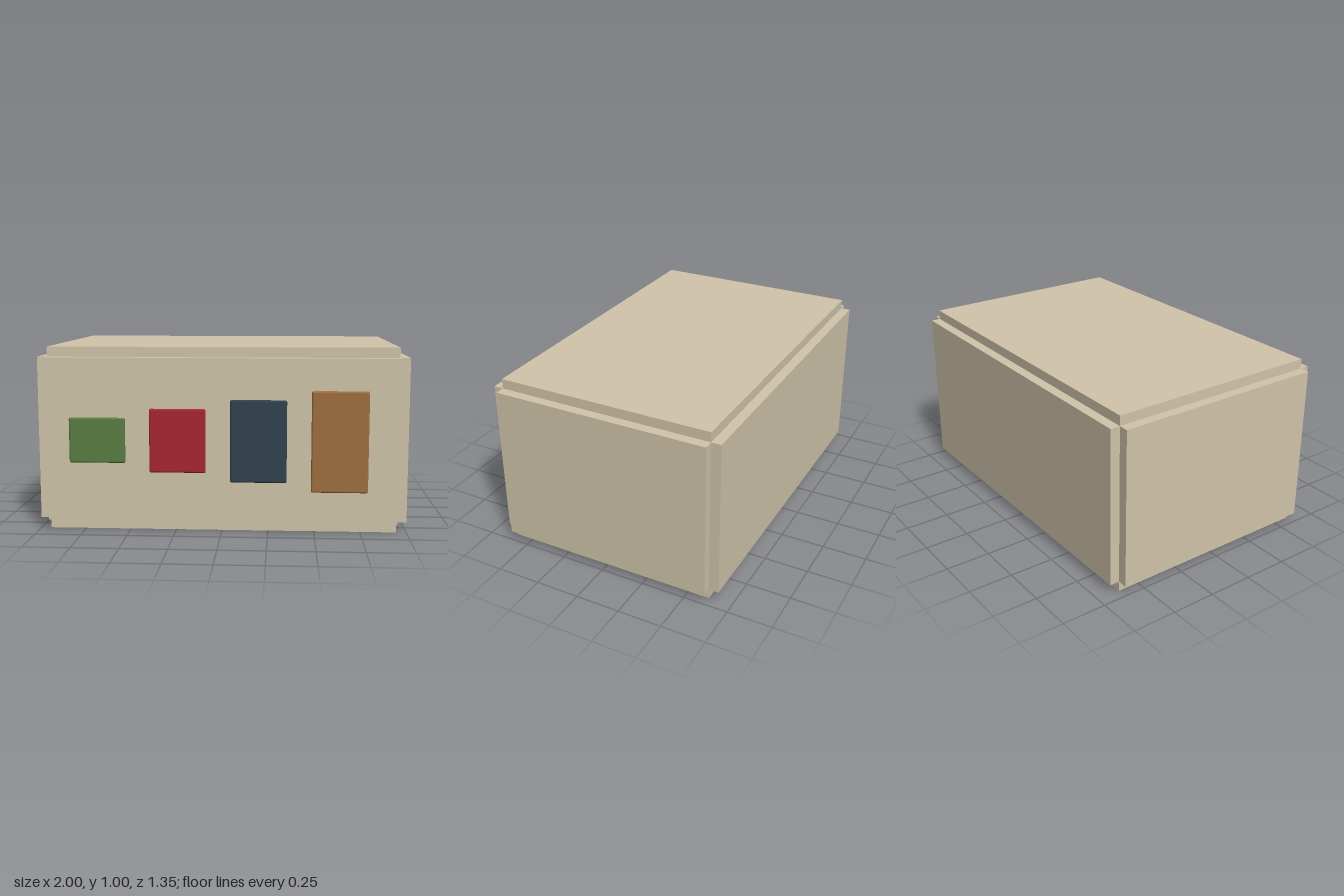
import * as THREE from 'three';
import { RoundedBoxGeometry } from 'three/addons/geometries/RoundedBoxGeometry.js';

// Inner volume enclosed by the six panels
const X = 0.945, Y0 = 0.057, Y1 = 0.945, Z0 = -0.62, Z1 = 0.602;
const T = 0.055; // panel thickness

export function createModel() {
  const model = new THREE.Group();
  model.name = 'crate';
  const wood = new THREE.MeshStandardMaterial({ color: 0xd1c5ab });

  // Box spanning two opposite corners
  const panel = (name, min, max) => {
    const size = max.map((v, i) => v - min[i]);
    const mesh = new THREE.Mesh(new THREE.BoxGeometry(...size), wood);
    mesh.position.set(...min.map((v, i) => (v + max[i]) / 2));
    mesh.name = name;
    model.add(mesh);
  };

  // Panels meet edge to edge, leaving a stepped notch along every edge
  panel('bottomPanel', [-X, 0, Z0], [X, Y0, Z1]);
  panel('topPanel', [-X, Y1, Z0], [X, 1, Z1]);
  panel('leftPanel', [X, Y0, Z0], [1, Y1, Z1]);
  panel('rightPanel', [-1, Y0, Z0], [-X, Y1, Z1]);
  panel('frontPanel', [-X, Y0, Z1], [X, Y1, Z1 + T]);
  panel('backPanel', [-X, Y0, Z0 - T], [X, Y1, Z0]);

  // Row of coloured tiles on the front, growing taller towards +x
  const depth = 0.021;
  [['green', 0x5a7d42], ['red', 0xa82830], ['blue', 0x304250], ['brown', 0xa07040]]
    .forEach(([name, color], i) => {
      const tile = new THREE.Mesh(
        new RoundedBoxGeometry(0.303, 0.245 + 0.1 * i, depth, 3, 0.01),
        new THREE.MeshStandardMaterial({ color })
      );
      tile.position.set(-0.667 + 0.433 * i, 0.502, Z1 + T + depth / 2);
      tile.name = name + 'Tile';
      model.add(tile);
    });

  return model;
}
